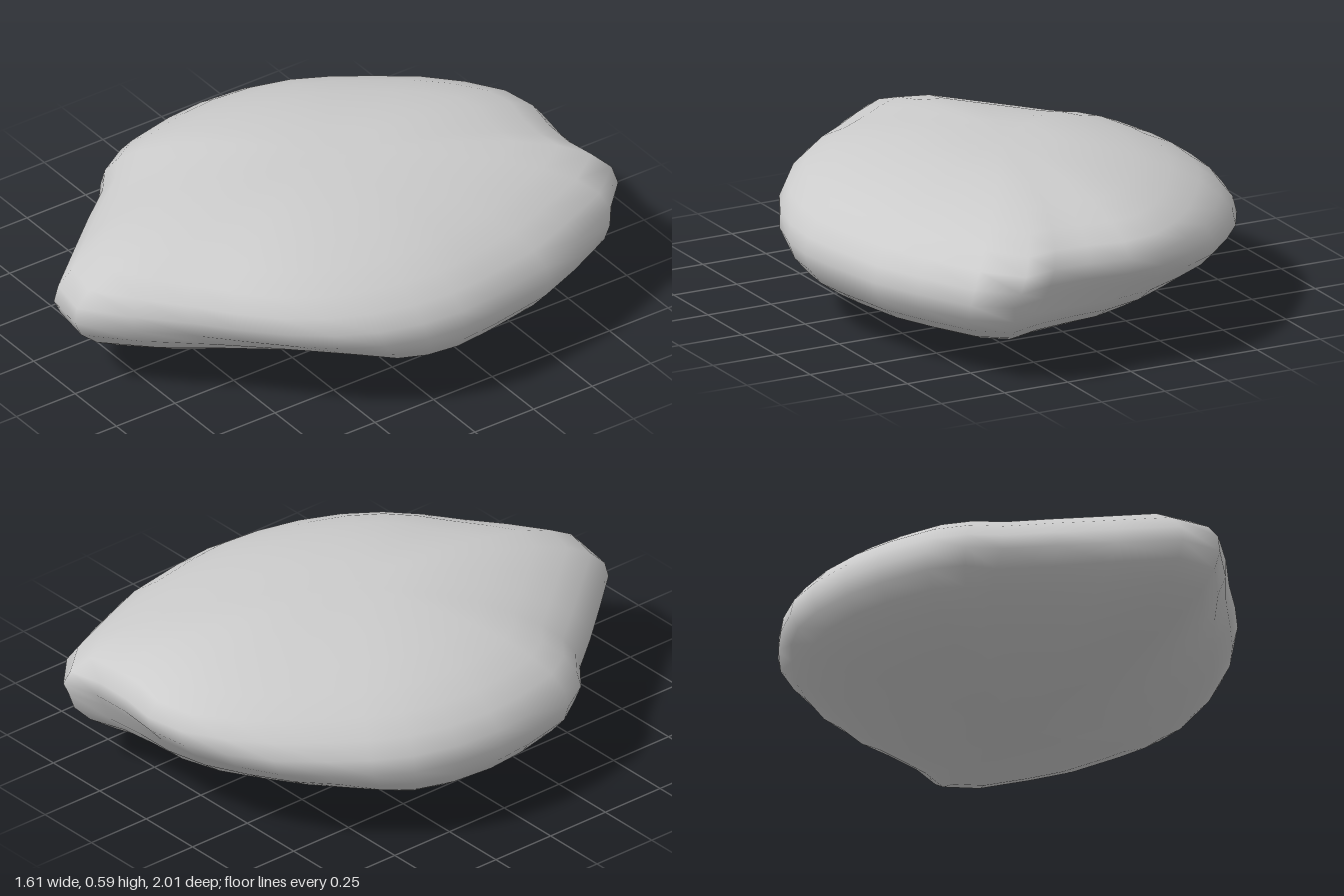
import * as THREE from 'three';
import { mergeVertices } from 'three/addons/utils/BufferGeometryUtils.js';

// Rim depth (z) at 32 azimuths, from the front tip round the left side (+x)
const RIM = [
  1.0, 0.86, 0.7, 0.57, 0.45, 0.33, 0.2, 0.05,
  -0.1, -0.25, -0.5, -0.68, -0.88, -0.975, -0.93, -0.92,
  -0.93, -0.91, -0.85, -0.77, -0.65, -0.53, -0.4, -0.24,
  -0.06, 0.1, 0.3, 0.42, 0.5, 0.65, 0.81, 0.98,
];
const POLE_Z = -0.07;

// Local dents and bulges: azimuth, angular width, change of z, upper (1) or lower (-1) half
const DENTS = [
  { at: -0.62, width: 0.3, dz: -0.12, half: -1 }, // valley under the front, right
  { at: 0.78, width: 0.48, dz: -0.2, half: -1 }, // deeper valley under the front, left
  { at: 0.72, width: 0.6, dz: 0.13, half: 1 }, // full shoulder above it
  { at: Math.PI + 0.05, width: 0.65, dz: -0.18, half: 1 }, // overhanging upper back
  { at: Math.PI + 0.6, width: 0.55, dz: 0.14, half: -1 }, // receding lower back
  { at: Math.PI - 0.58, width: 0.25, dz: -0.06, half: 1 }, // raised back corner
];

function bump(angle, { at, width }) {
  const d = Math.atan2(Math.sin(angle - at), Math.cos(angle - at));
  return Math.exp(-((d / width) ** 2));
}

export function createModel() {
  // Flattened ball whose depth follows the irregular rim
  let geometry = new THREE.SphereGeometry(1, 32, 16);
  geometry.deleteAttribute('uv');
  geometry.deleteAttribute('normal');
  geometry = mergeVertices(geometry, 1e-4);

  const p = geometry.attributes.position;
  for (let i = 0; i < p.count; i++) {
    const x = p.getX(i), y = p.getY(i), z0 = p.getZ(i);
    const s = Math.hypot(x, z0);
    const angle = Math.atan2(x, z0);
    const step = (Math.round((angle / (2 * Math.PI)) * 32) + 32) % 32;
    let z = POLE_Z + (RIM[step] - POLE_Z) * s;
    for (const dent of DENTS) {
      const weight = Math.max(0, 2 * s * y * dent.half);
      z += dent.dz * weight * bump(angle, dent);
    }
    // Slight dimple at the two poles
    const height = s < 0.01 ? 0.285 : 0.3;
    p.setXYZ(i, x * 0.805, 0.297 + y * height, z);
  }
  geometry.computeVertexNormals();

  const pebble = new THREE.Mesh(geometry, new THREE.MeshStandardMaterial({ color: 0xcccccc }));
  pebble.name = 'pebble';
  const group = new THREE.Group();
  group.name = 'stone';
  group.add(pebble);
  return group;
}
